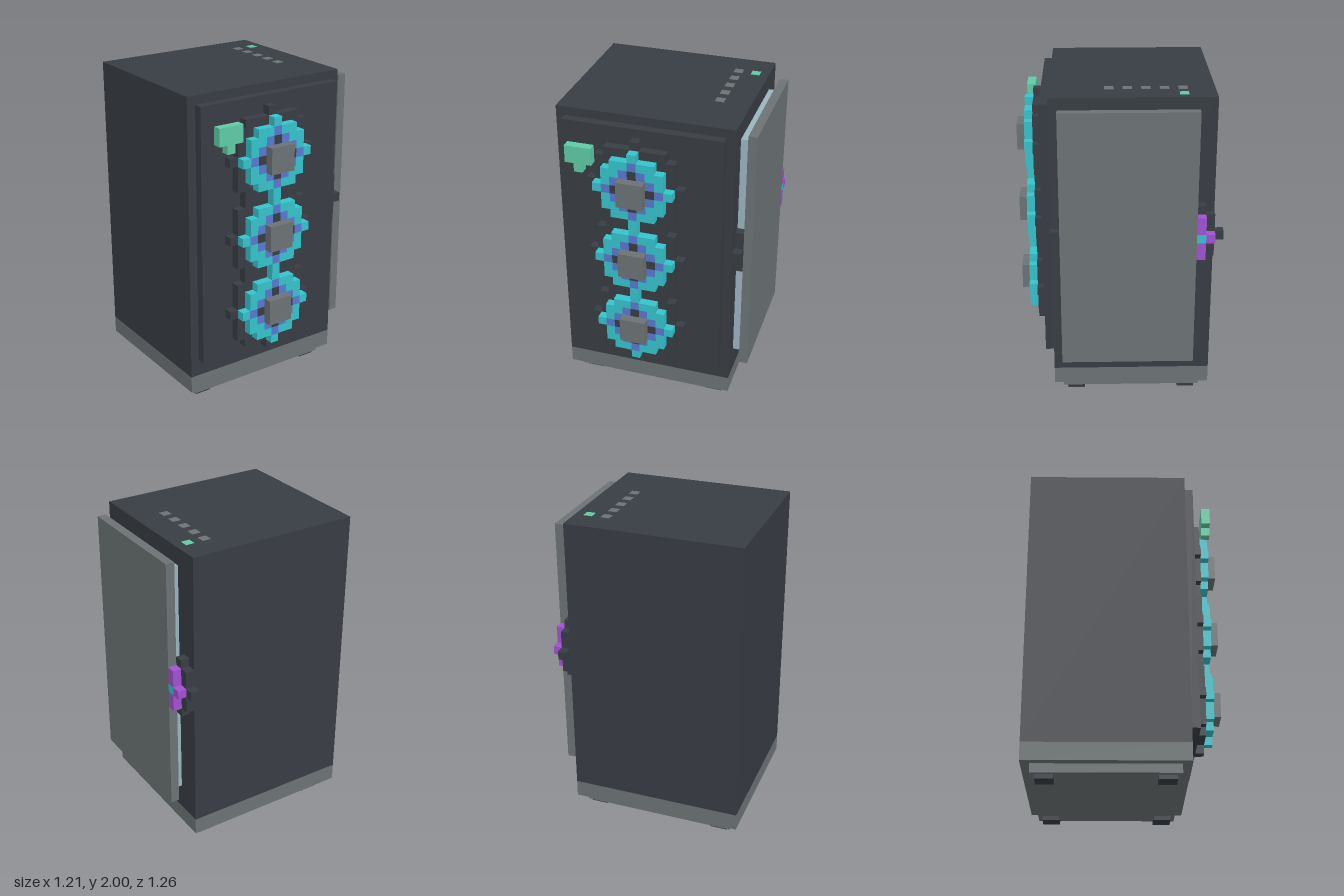
import * as THREE from 'three';

const V = 2 / 36.5; // size of one block

const mat = (name, color) => Object.assign(new THREE.MeshStandardMaterial({ color }), { name });

export function createModel() {
  const model = new THREE.Group();
  model.name = 'computerTower';
  const charcoal = mat('charcoal', 0x383d44);
  const grey = mat('grey', 0x6c7375);
  const cyan = mat('cyan', 0x35c3cd);
  const blue = mat('blue', 0x5a78d0);
  const green = mat('green', 0x5fcca6);
  const purple = mat('purple', 0xa152d2);
  const glass = mat('paleGlass', 0x9bb5bf);

  // Box between two corners given in block coordinates
  function block(name, material, [x0, x1], [y0, y1], [z0, z1], parent = model) {
    const geo = new THREE.BoxGeometry((x1 - x0) * V, (y1 - y0) * V, (z1 - z0) * V);
    const mesh = new THREE.Mesh(geo, material);
    mesh.position.set(((x0 + x1) / 2 - 11) * V, ((y0 + y1) / 2 + 0.5) * V, ((z0 + z1) / 2 - 11.5) * V);
    mesh.name = name;
    parent.add(mesh);
  }

  // Case, plinth and feet
  block('caseBody', charcoal, [0, 20], [3, 36], [1, 19]);
  block('plinthBand', grey, [0, 20], [1, 3], [1, 19]);
  block('plinthBase', grey, [1, 19], [0, 1], [2, 18]);
  for (const x of [1.5, 16.8]) for (const z of [2.5, 15.5])
    block('foot', charcoal, [x, x + 2], [-0.5, 0], [z, z + 2]);

  // Front panel
  block('frontPanel', charcoal, [1, 19], [5, 35], [19, 20]);

  // Fans: C cyan, B blue, D charcoal
  const rows = [
    '....C....',
    '..CCBCC..',
    '.CCBDBCC.',
    '.CBDDDBC.',
    'CBDDDDDBC',
    '.CBDDDBC.',
    '.CCBDBCC.',
    '..CCBCC..',
    '....C....',
  ];
  // Keep the blue arc complete beside the hub
  const paint = { C: cyan, B: blue, D: charcoal };
  const partNames = { C: 'fanRing', B: 'fanBlades', D: 'fanCore' };
  for (const cy of [10.5, 19.5, 28.5]) {
    const fan = new THREE.Group();
    fan.name = 'fan';
    model.add(fan);
    // Dark mount, one block wider than the ring
    block('fanMount', charcoal, [5, 14], [cy - 3.5, cy + 3.5], [20, 21], fan);
    for (const s of [-1, 1]) {
      const y = cy + s * 4;
      block('fanMountEdge', charcoal, [6, 13], [y - 0.5, y + 0.5], [20, 21], fan);
      const x = 9.5 + s * 5;
      block('fanMountTip', charcoal, [x - 0.5, x + 0.5], [cy - 0.5, cy + 0.5], [20, 21], fan);
    }
    // Ring rows, joining equal neighbours into one bar
    rows.forEach((row, r) => {
      for (let a = 0; a < 9;) {
        let b = a + 1;
        while (b < 9 && row[b] === row[a]) b++;
        if (row[a] !== '.')
          block(partNames[row[a]], paint[row[a]], [5 + a, 5 + b], [cy + 3.5 - r, cy + 4.5 - r], [21, 22], fan);
        a = b;
      }
    });
    block('fanHub', grey, [8, 11], [cy - 1.5, cy + 1.5], [22, 23], fan);
  }
  // End tips of the mount column
  block('mountTopTip', charcoal, [9, 10], [33, 34], [20, 21]);
  block('mountBottomTip', charcoal, [9, 10], [5, 6], [20, 21]);

  // Green badge
  block('badge', green, [2, 5], [31, 33], [21, 22]);
  block('badgeStem', green, [3, 4], [30, 31], [21, 22]);

  // Side door with a pale glass layer behind it
  block('sideGlass', glass, [20, 21], [6, 34], [4, 17]);
  block('sideDoor', grey, [21, 22], [5, 35], [3, 18]);

  // Front latch
  block('frontLatch', charcoal, [20, 21], [18, 23], [17, 18]);
  block('frontLatchTip', charcoal, [20, 21], [20, 21], [18, 19]);

  // Rear hinge knob
  block('hingeCentre', charcoal, [20, 21], [17, 24], [2, 3]);
  block('hingeSide', charcoal, [20, 21], [18, 23], [1, 2]);
  block('hingeSide', charcoal, [20, 21], [18, 23], [3, 4]);
  block('hingeTip', charcoal, [20, 21], [20, 21], [0, 1]);
  block('knobUpper', purple, [21, 22], [21, 23], [2, 3]);
  block('knobLower', purple, [21, 22], [18, 20], [2, 3]);
  block('knobBack', purple, [21, 22], [20, 21], [1, 2]);
  block('knobLight', cyan, [21, 22], [20, 21], [2, 3]);

  // Top ports and power button
  for (let z = 4; z <= 12; z += 2) block('topPort', grey, [16, 17], [35.95, 36.04], [z, z + 1]);
  block('powerButton', green, [18, 19], [35.95, 36.04], [4, 5]);

  return model;
}
